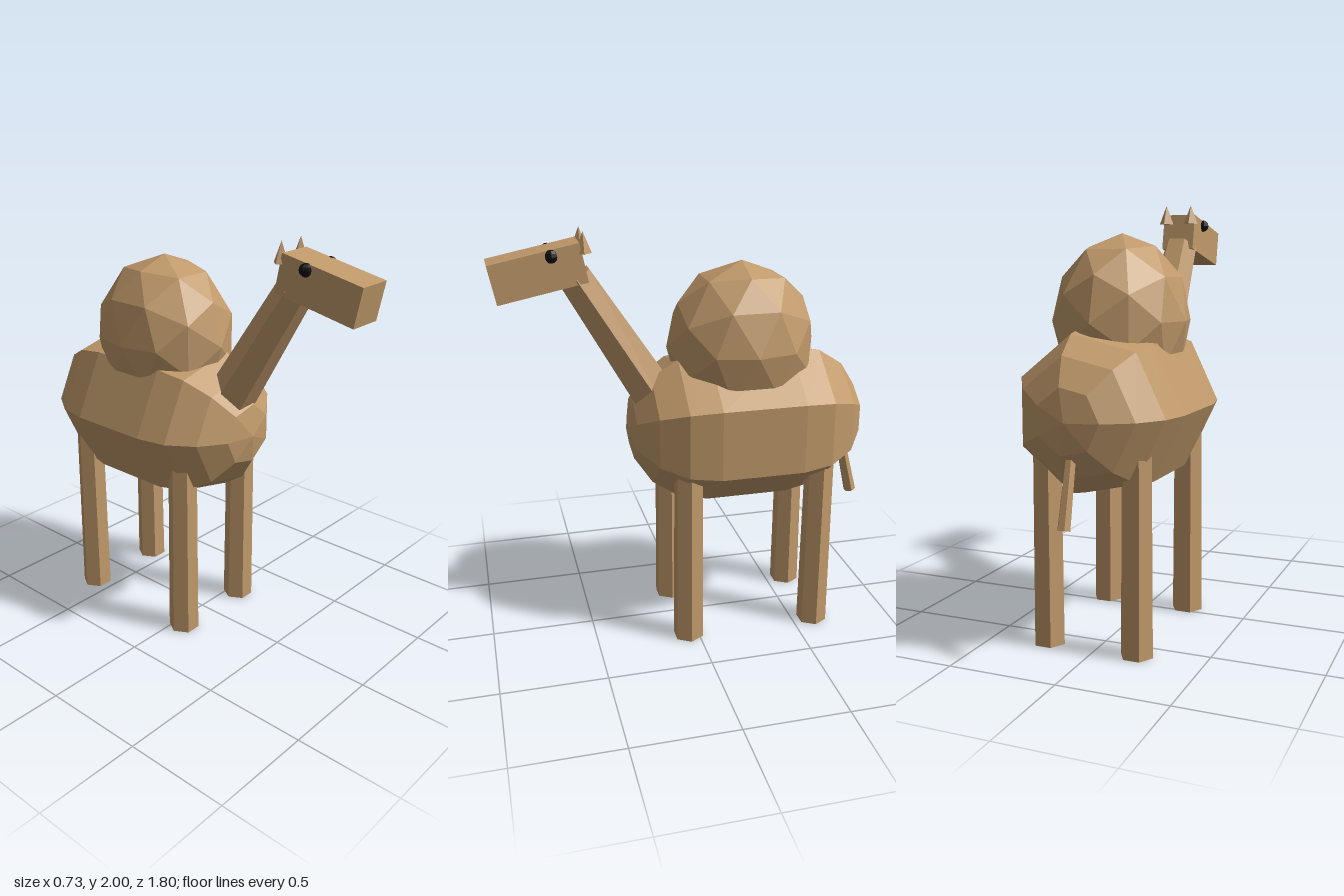
import * as THREE from 'three';

const CX = 0.018; // centre line of the animal

export function createModel() {
  const group = new THREE.Group();
  group.name = 'camel';

  const coat = new THREE.MeshStandardMaterial({ color: 0xc19a6b, flatShading: true });
  coat.name = 'tan coat';
  const black = new THREE.MeshStandardMaterial({ color: 0x111111, flatShading: true });
  black.name = 'eye black';

  // x is measured from the centre line, tilt turns the part about x
  function add(name, geometry, material, x, y, z, tilt = 0) {
    const mesh = new THREE.Mesh(geometry, material);
    mesh.name = name;
    mesh.position.set(CX + x, y, z);
    mesh.rotation.x = tilt;
    group.add(mesh);
    return mesh;
  }

  // Six-sided tapered rod with corners facing sideways
  const rod = (top, bottom, length) =>
    new THREE.CylinderGeometry(top, bottom, length, 6).rotateY(Math.PI / 6);

  // Body: seven-sided capsule lying along z, one corner towards -x
  add('body', new THREE.CapsuleGeometry(0.384, 0.4, 4, 7), coat, 0, 1.05, -0.28, Math.PI / 2);

  // Hump
  const hump = add('hump', new THREE.IcosahedronGeometry(1, 1), coat, 0, 1.44, -0.255);
  hump.scale.set(0.308, 0.39, 0.36);

  // Neck, leaning forward
  add('neck', rod(0.086, 0.119, 0.8), coat, 0, 1.45, 0.312, 0.55);

  // Head, nose slightly down
  add('head', new THREE.BoxGeometry(0.168, 0.178, 0.41), coat, 0, 1.825, 0.685, 0.2);

  // Tail, hanging backward
  add('tail', rod(0.022, 0.03, 0.38), coat, 0, 0.79, -0.823, 0.24);

  // Paired parts
  for (const [side, s] of [['left', 1], ['right', -1]]) {
    add(side + 'Eye', new THREE.SphereGeometry(0.03, 6, 6), black, s * 0.087, 1.9, 0.627);
    add(side + 'Ear', new THREE.ConeGeometry(0.038, 0.095, 4), coat, s * 0.067, 1.9525, 0.485);
    for (const [end, z] of [['Front', 0.05], ['Back', -0.603]]) {
      add(side + end + 'Leg', rod(0.069, 0.075, 0.97), coat, s * 0.213, 0.485, z);
    }
  }
  return group;
}
